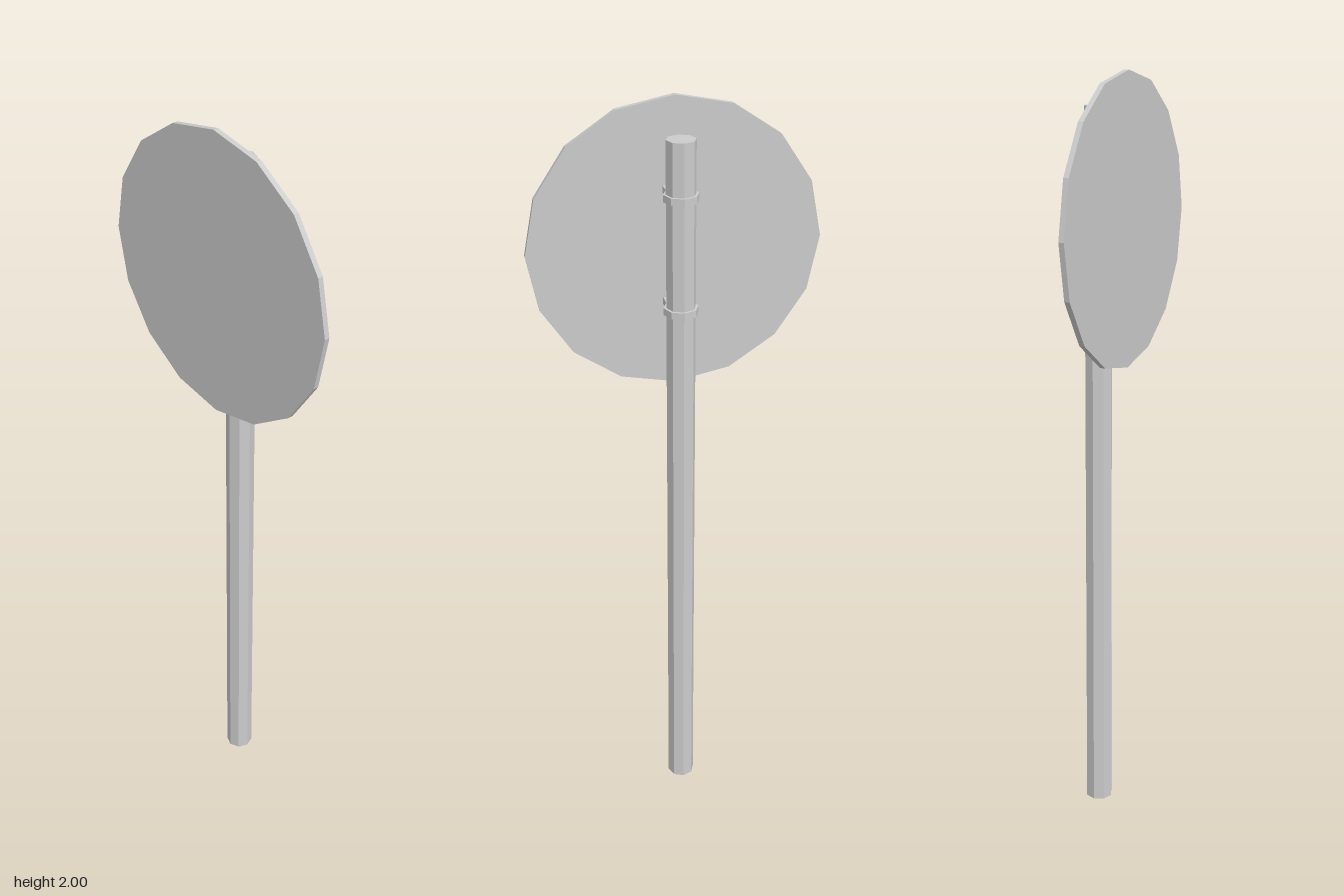
import * as THREE from 'three';

const POST_Z = -0.02;

export function createModel() {
  const model = new THREE.Group();
  model.name = 'roundSign';
  const material = new THREE.MeshStandardMaterial({ color: 0xcccccc, flatShading: true });

  const add = (name, geometry, x, y, z) => {
    const mesh = new THREE.Mesh(geometry, material);
    mesh.name = name;
    mesh.position.set(x, y, z);
    model.add(mesh);
  };

  // Eight-sided post
  const postHeight = 1.915;
  add('post', new THREE.CylinderGeometry(0.037, 0.037, postHeight, 8), 0, postHeight / 2, POST_Z);

  // Sixteen-sided sign plate, facing forward
  const plate = new THREE.CylinderGeometry(0.37, 0.37, 0.014, 16).rotateX(Math.PI / 2);
  add('signPlate', plate, 0, 1.63, 0.055);

  // Clamp outline: octagonal collar round the back, straight sides to the plate
  const outline = [];
  for (let i = -1; i <= 5; i++) {
    const a = -i * Math.PI / 4;
    outline.push(new THREE.Vector2(0.044 * Math.cos(a), 0.044 * Math.sin(a)));
  }
  const plateBack = 0.048 - POST_Z;
  outline.push(new THREE.Vector2(-0.031, plateBack), new THREE.Vector2(0.031, plateBack));
  const clampHeight = 0.018;
  const clamp = new THREE.ExtrudeGeometry(new THREE.Shape(outline), { depth: clampHeight, bevelEnabled: false })
    .rotateX(Math.PI / 2)
    .translate(0, clampHeight / 2, 0);
  add('upperClamp', clamp, 0, 1.776, POST_Z);
  add('lowerClamp', clamp, 0, 1.488, POST_Z);

  return model;
}
